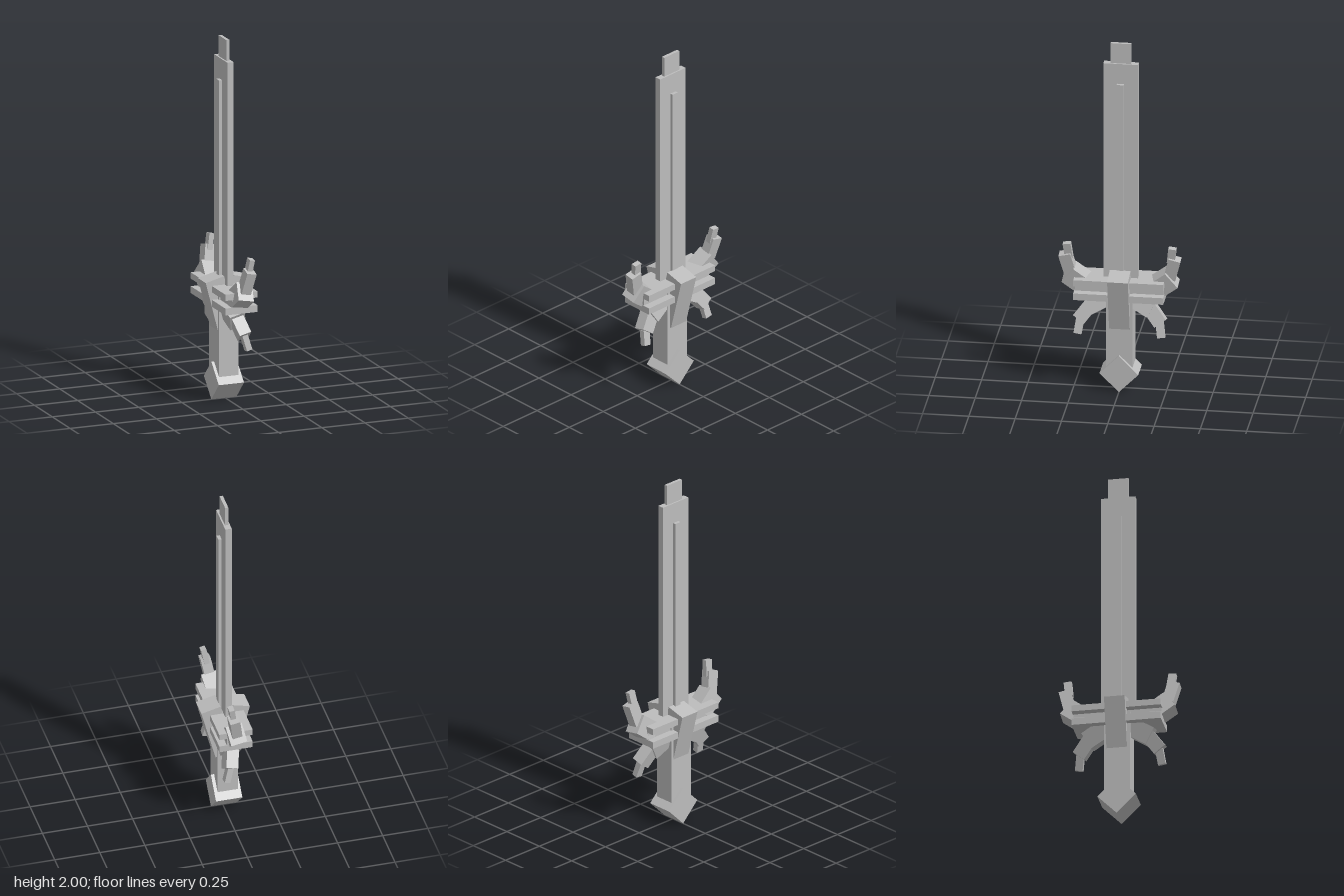
import * as THREE from 'three';

export function createModel() {
  const root = new THREE.Group();
  root.name = 'sword';
  const steel = new THREE.MeshStandardMaterial({ color: 0xbcbcbc });
  steel.name = 'steel grey';

  const box = (parent, name, size, pos, rx = 0, rz = 0) => {
    const mesh = new THREE.Mesh(new THREE.BoxGeometry(...size), steel);
    mesh.name = name;
    mesh.position.set(...pos);
    mesh.rotation.set(rx, 0, rz);
    parent.add(mesh);
    return mesh;
  };
  // Box given by its lowest and highest y
  const upright = (name, w, d, y0, y1, x = -0.006, z = -0.002) =>
    box(root, name, [w, y1 - y0, d], [x, (y0 + y1) / 2, z]);

  // Blade with raised centre rib and stepped tip
  upright('blade', 0.036, 0.187, 0.5, 1.885);
  upright('bladeRib', 0.073, 0.038, 0.5, 1.77);
  upright('bladeTip', 0.018, 0.111, 1.86, 2.0);

  // Grip and diamond pommel
  upright('grip', 0.112, 0.143, 0.14, 0.6, -0.008, 0);
  box(root, 'pommel', [0.146, 0.148, 0.148], [-0.007, 0.1047, 0], Math.PI / 4);

  // Crossguard: two wide bars around a narrower core
  upright('guardUpperBar', 0.185, 0.486, 0.61, 0.645, -0.007, 0.001);
  upright('guardCore', 0.1, 0.48, 0.568, 0.61, -0.007, 0.001);
  upright('guardLowerBar', 0.185, 0.486, 0.53, 0.568, -0.007, 0.001);

  // Flared cheek plates on either side of the blade
  for (const s of [-1, 1]) {
    box(root, s > 0 ? 'leftCheek' : 'rightCheek', [0.11, 0.312, 0.112],
      [s * 0.042, 0.527, -0.002], 0, -s * 0.253);
  }

  // Claws of three shrinking segments: [name, size, y, z, lean]
  const upper = [
    ['clawBase', [0.09, 0.13, 0.107], 0.62, 0.229, 0.91],
    ['clawMiddle', [0.055, 0.125, 0.066], 0.717, 0.282, 0.25],
    ['clawTip', [0.029, 0.09, 0.043], 0.797, 0.28, 0.12],
  ];
  const lower = [
    ['clawBase', [0.09, 0.14, 0.1], 0.503, 0.112, -1.05],
    ['clawMiddle', [0.068, 0.125, 0.075], 0.443, 0.183, -0.64],
    ['clawTip', [0.032, 0.085, 0.042], 0.356, 0.22, -0.14],
  ];
  const claw = (name, segments, pivot, tilt, s) => {
    const group = new THREE.Group();
    group.name = name;
    group.position.set(0, pivot, 0);
    group.rotation.z = tilt;
    for (const [part, size, y, z, lean] of segments) {
      box(group, part, size, [0, y - pivot, s * z], s * lean);
    }
    root.add(group);
  };
  for (const s of [-1, 1]) {
    const end = s > 0 ? 'front' : 'back';
    claw(end + 'UpperClaw', upper, 0.655, -0.175, s);
    claw(end + 'LowerClaw', lower, 0.475, 0.26, s);
  }
  return root;
}
